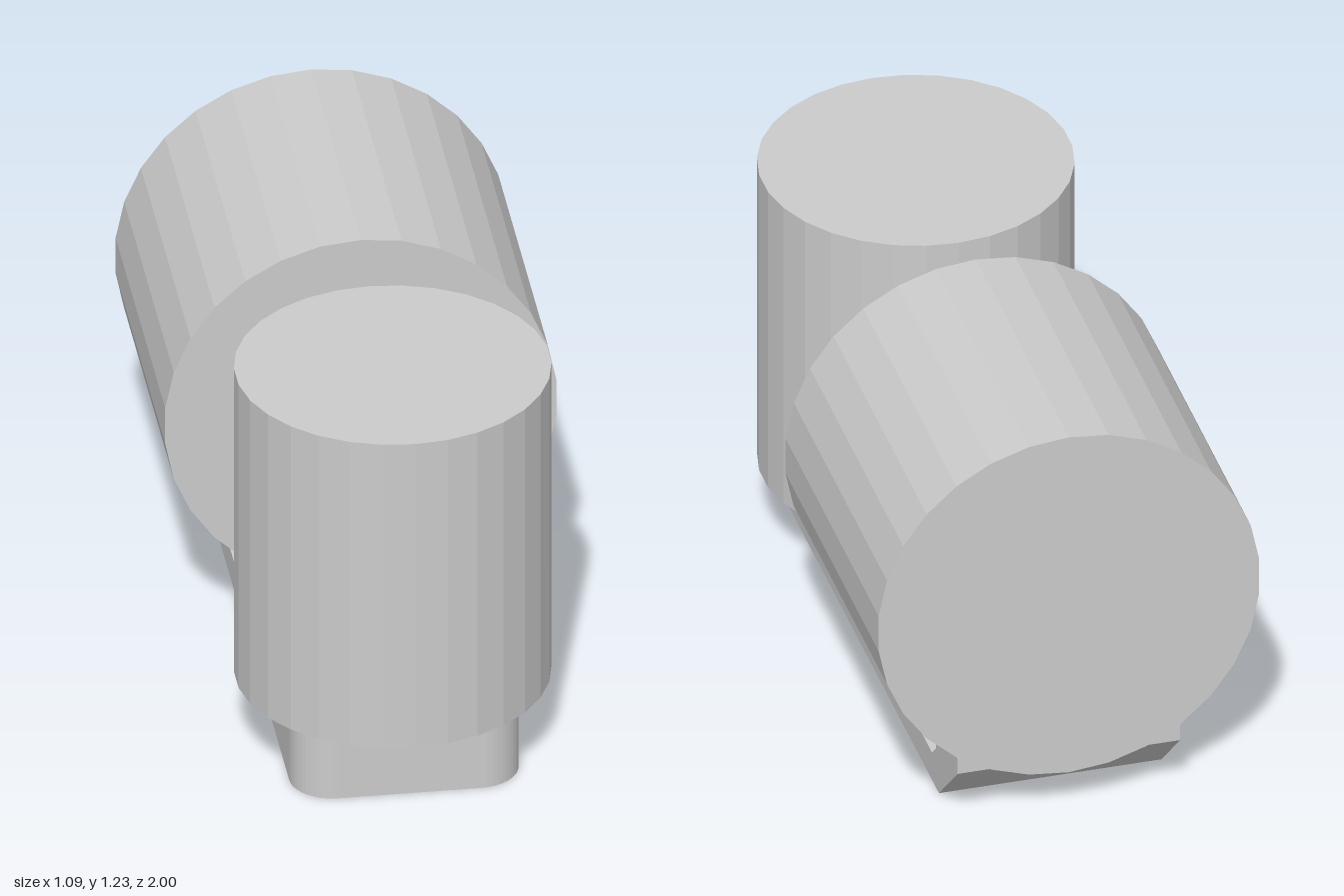
import * as THREE from 'three';

const material = new THREE.MeshStandardMaterial({ color: 0xcccccc, flatShading: true });

function addPart(group, name, geometry) {
  const mesh = new THREE.Mesh(geometry, material);
  mesh.name = name;
  group.add(mesh);
  return mesh;
}

// Rounded rectangle given by its centre, half sizes and corner radius
function roundedRect(cx, cy, hw, hh, r) {
  const s = new THREE.Shape();
  s.absarc(cx + hw - r, cy + hh - r, r, 0, Math.PI / 2);
  s.absarc(cx - hw + r, cy + hh - r, r, Math.PI / 2, Math.PI);
  s.absarc(cx - hw + r, cy - hh + r, r, Math.PI, Math.PI * 1.5);
  s.absarc(cx + hw - r, cy - hh + r, r, Math.PI * 1.5, Math.PI * 2);
  s.closePath();
  return s;
}

export function createModel() {
  const group = new THREE.Group();
  group.name = 'twinCylinderBracket';
  const halfWidth = 0.32;
  const postZ = 0.56;

  // Upright cylinder at the front
  addPart(group, 'uprightCylinder', new THREE.CylinderGeometry(0.44, 0.44, 0.97, 30))
    .position.set(0, 0.695, postZ);

  // Lying cylinder at the back, its axis along z
  const lying = new THREE.CylinderGeometry(0.55, 0.55, 0.95, 30);
  lying.rotateX(Math.PI / 2);
  addPart(group, 'lyingCylinder', lying).position.set(0, 0.68, -0.525);

  // Rounded block under the upright cylinder, bored from below
  const block = roundedRect(0, -postZ, halfWidth, 0.33, 0.12);
  const bore = new THREE.Path();
  bore.absarc(0, -postZ, 0.155, 0, Math.PI * 2, true);
  block.holes.push(bore);
  const blockGeometry = new THREE.ExtrudeGeometry(block, { depth: 0.21, bevelEnabled: false, curveSegments: 6 });
  blockGeometry.rotateX(-Math.PI / 2);
  addPart(group, 'mountingBlock', blockGeometry);

  // Flat arm with an upturned, chamfered end: side profile as [z, y]
  const profile = [
    [0.35, 0], [-0.81, 0], [-1, 0.18], [-1, 0.23],
    [-0.78, 0.23], [-0.78, 0.13], [-0.74, 0.09], [0.35, 0.09],
  ];
  const arm = new THREE.Shape(profile.map(([z, y]) => new THREE.Vector2(-z, y)));
  const armGeometry = new THREE.ExtrudeGeometry(arm, { depth: halfWidth * 2, bevelEnabled: false });
  armGeometry.translate(0, 0, -halfWidth);
  armGeometry.rotateY(Math.PI / 2);
  addPart(group, 'bracketArm', armGeometry);

  return group;
}
